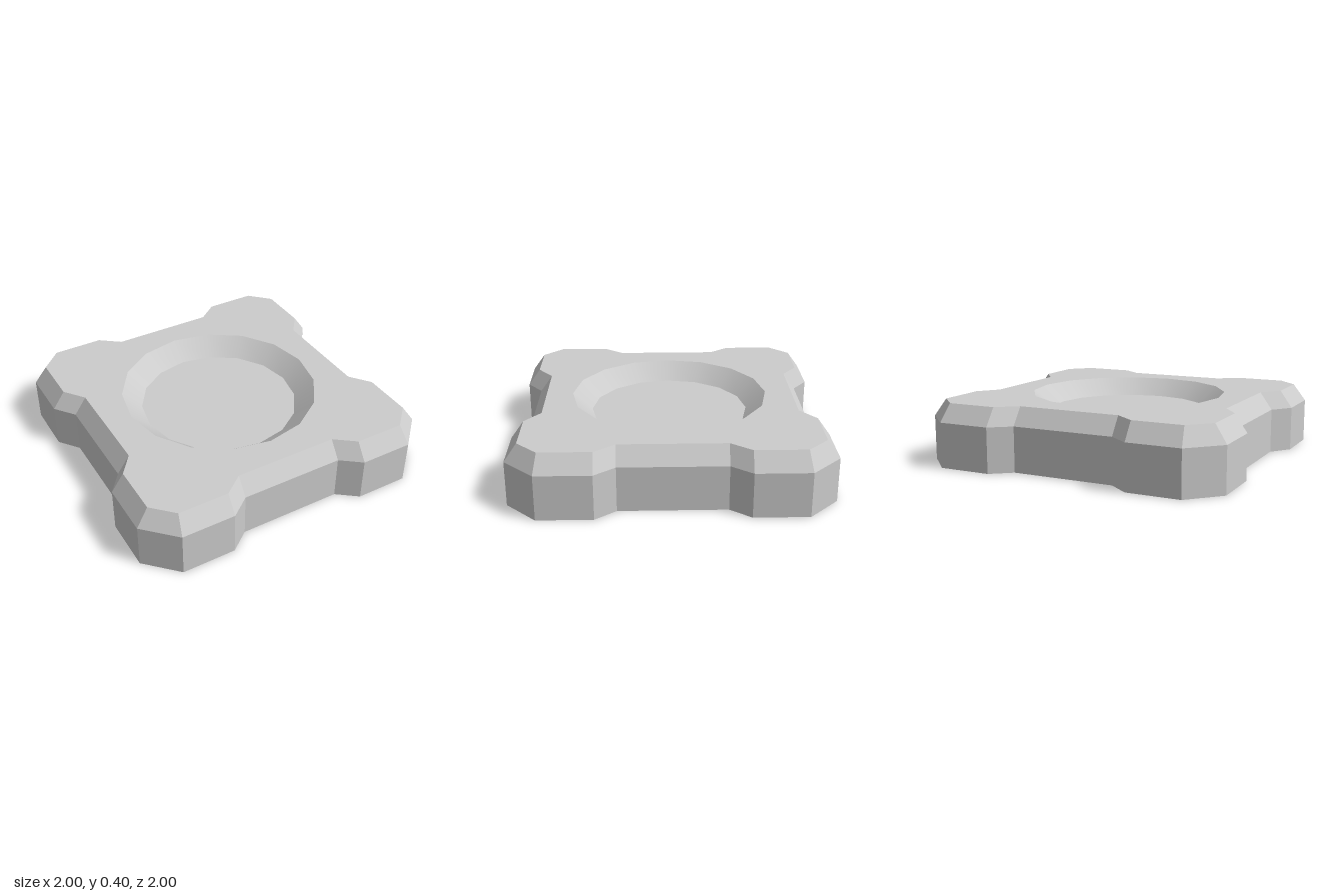
import * as THREE from 'three';

const SIDES = 16, RIM = 0.645, FLOOR = 0.518;
const TOP = 0.4, SHOULDER = 0.288;

// One quarter of the outline, turned four times; points are (x, z)
function outline(quarter) {
  const points = [];
  for (let turn = 0; turn < 4; turn++) {
    for (const [x, z] of quarter) {
      points.push([[x, z], [-z, x], [-x, -z], [z, -x]][turn]);
    }
  }
  return points;
}

// Flat-sided band between two outlines at different heights
function band(lower, y0, upper, y1) {
  const positions = [];
  lower.forEach(([ax, az], i) => {
    const j = (i + 1) % lower.length;
    const [bx, bz] = lower[j], [cx, cz] = upper[j], [dx, dz] = upper[i];
    positions.push(ax, y0, az, dx, y1, dz, bx, y0, bz);
    positions.push(bx, y0, bz, dx, y1, dz, cx, y1, cz);
  });
  const geometry = new THREE.BufferGeometry();
  geometry.setAttribute('position', new THREE.Float32BufferAttribute(positions, 3));
  geometry.computeVertexNormals();
  return geometry;
}

export function createModel() {
  const group = new THREE.Group();
  group.name = 'recessedBase';
  const material = new THREE.MeshStandardMaterial({ color: 0xcccccc, side: THREE.DoubleSide });
  const add = (name, geometry) => {
    const mesh = new THREE.Mesh(geometry, material);
    mesh.name = name;
    group.add(mesh);
    return mesh;
  };

  // Notched square with cut corners, and its inset top edge
  const outer = outline([[0.9, 0.335], [1, 0.465], [1, 0.81], [0.81, 1], [0.465, 1], [0.335, 0.9]]);
  const inset = outline([[0.82, 0.335], [0.92, 0.465], [0.92, 0.79], [0.79, 0.92], [0.465, 0.92], [0.335, 0.82]]);

  // Open-bottomed shell
  add('outerWall', band(outer, 0, outer, SHOULDER));
  add('bevel', band(outer, SHOULDER, inset, TOP));

  // Top plate with a round opening
  const plate = new THREE.Shape(inset.map(([x, z]) => new THREE.Vector2(x, z)));
  const hole = [];
  for (let i = 0; i < SIDES; i++) {
    const a = -i / SIDES * Math.PI * 2;
    hole.push(new THREE.Vector2(RIM * Math.cos(a), RIM * Math.sin(a)));
  }
  plate.holes.push(new THREE.Path(hole));
  add('topPlate', new THREE.ShapeGeometry(plate).rotateX(-Math.PI / 2)).position.y = TOP;

  // Sunken dish: sloped side and flat floor
  add('dishSide', new THREE.LatheGeometry(
    [new THREE.Vector2(RIM, TOP), new THREE.Vector2(FLOOR, SHOULDER)], SIDES));
  add('dishFloor', new THREE.CircleGeometry(FLOOR, SIDES).rotateX(-Math.PI / 2)).position.y = SHOULDER;

  return group;
}
